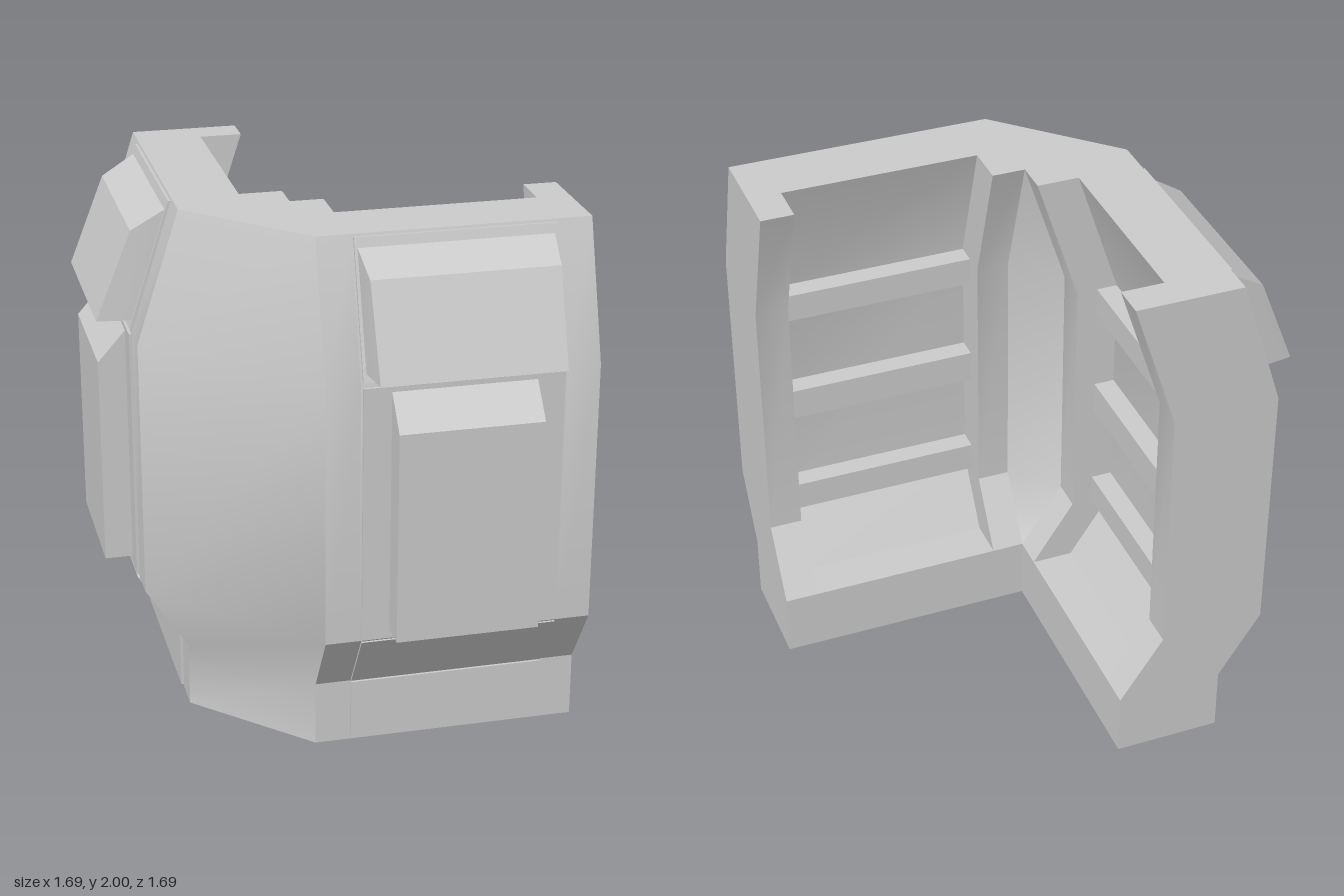
import * as THREE from 'three';
import { toCreasedNormals } from 'three/addons/utils/BufferGeometryUtils.js';
import { ConvexGeometry } from 'three/addons/geometries/ConvexGeometry.js';

const material = new THREE.MeshStandardMaterial({ color: 0xcccccc });
const IN = 0.155;      // inner face of the wall at top and foot
const HALF = 0.5;      // half length of a wing
const BAY = 0.375;     // half length of the bay between the posts

// Wall section as [distance outward, height]
const outer = [[0.56, 0], [0.56, 0.25], [0.72, 0.5], [0.72, 1.5], [0.56, 2]];
const inner = [[IN, 0], [IN, 0.25], [0.32, 0.5], [0.32, 1.5], [IN, 2]];
const bayInner = [[IN, 0], [IN, 0.25], [0.315, 0.25], [0.48, 0.5], [0.48, 1.5], [0.315, 2]];

function addMesh(parent, name, geometry) {
  const mesh = new THREE.Mesh(toCreasedNormals(geometry, THREE.MathUtils.degToRad(28)), material);
  mesh.name = name;
  parent.add(mesh);
}

// Section extruded along x from x0 to x1, with outward distance on +z
function extrudeX(points, x0, x1) {
  const shape = new THREE.Shape(points.map(([d, y]) => new THREE.Vector2(d, y)));
  return new THREE.ExtrudeGeometry(shape, { depth: x1 - x0, bevelEnabled: false })
    .rotateY(-Math.PI / 2)
    .translate(x1, 0, 0);
}

function createWing(name) {
  const wing = new THREE.Group();
  wing.name = name;
  const postSection = [...outer, ...[...inner].reverse()];
  const baySection = [...outer, ...[...bayInner].reverse()];
  addMesh(wing, 'innerPost', extrudeX(postSection, -HALF, -BAY));
  addMesh(wing, 'outerPost', extrudeX(postSection, BAY, HALF));
  addMesh(wing, 'bayWall', extrudeX(baySection, -BAY, BAY));

  // Thin cladding plates separated by narrow seams
  const plates = [
    ['basePlate', 0.56, 0.01, 0.56, 0.247],
    ['slopePlate', 0.563, 0.255, 0.717, 0.495],
    ['mainPlate', 0.72, 0.51, 0.72, 1.49],
    ['topPlate', 0.717, 1.51, 0.563, 1.99],
  ];
  for (const [label, d0, y0, d1, y1] of plates) {
    const section = [[d0 - 0.02, y0], [d0 + 0.01, y0], [d1 + 0.01, y1], [d1 - 0.02, y1]];
    addMesh(wing, label, extrudeX(section, -BAY + 0.008, BAY - 0.008));
  }

  // Raised block with a bevelled top
  const block = [[0.7, 0.54], [0.835, 0.54], [0.835, 1.35], [0.73, 1.47], [0.7, 1.47]];
  addMesh(wing, 'raisedBlock', extrudeX(block, -0.265, 0.265));

  // Overhanging hood, narrower at its face than at its root
  const hood = [[0.55, 1.96, 0.357], [0.576, 1.96, 0.357], [0.71, 1.88, 0.342],
    [0.845, 1.54, 0.337], [0.715, 1.54, 0.355], [0.69, 1.54, 0.357]];
  const corners = hood.flatMap(([d, y, w]) => [new THREE.Vector3(-w, y, d), new THREE.Vector3(w, y, d)]);
  addMesh(wing, 'hood', new ConvexGeometry(corners));

  // Ribs across the inner recess
  for (const [y0, y1] of [[0.5, 0.615], [0.94, 1.065], [1.39, 1.5]]) {
    addMesh(wing, 'innerRib', extrudeX([[0.4, y0], [0.5, y0], [0.5, y1], [0.4, y1]], -BAY, BAY));
  }
  return wing;
}

// Diagonal corner joining the end sections of both wings
function cornerGeometry() {
  const pos = [];
  const a = ([d, y]) => [-IN, y, d];
  const b = ([d, y]) => [-d, y, IN];
  const tri = (...pts) => pts.forEach((p) => pos.push(...p));
  for (let i = 0; i < outer.length - 1; i++) {
    const [lo, hi] = [outer[i], outer[i + 1]];
    tri(b(lo), a(lo), a(hi));
    tri(b(lo), a(hi), b(hi));
    // The inner chamfer closes to a point above and below
    const [p, q] = [inner[i], inner[i + 1]];
    if (p[0] > IN) tri(a(p), b(p), b(q));
    if (q[0] > IN) tri(a(p), b(q), a(q));
    else if (p[0] > IN) continue;
  }
  tri([-IN, 2, IN], b(outer[4]), a(outer[4]));
  tri([-IN, 0, IN], a(outer[0]), b(outer[0]));
  const geometry = new THREE.BufferGeometry();
  geometry.setAttribute('position', new THREE.Float32BufferAttribute(pos, 3));
  geometry.computeVertexNormals();
  return geometry;
}

export function createModel() {
  const model = new THREE.Group();
  model.name = 'cornerWall';

  const front = createWing('frontWing');
  front.position.x = HALF - IN;
  const side = createWing('sideWing');
  side.rotation.y = -Math.PI / 2;
  side.position.z = IN - HALF;
  model.add(front, side);

  addMesh(model, 'diagonalCorner', cornerGeometry());
  return model;
}
